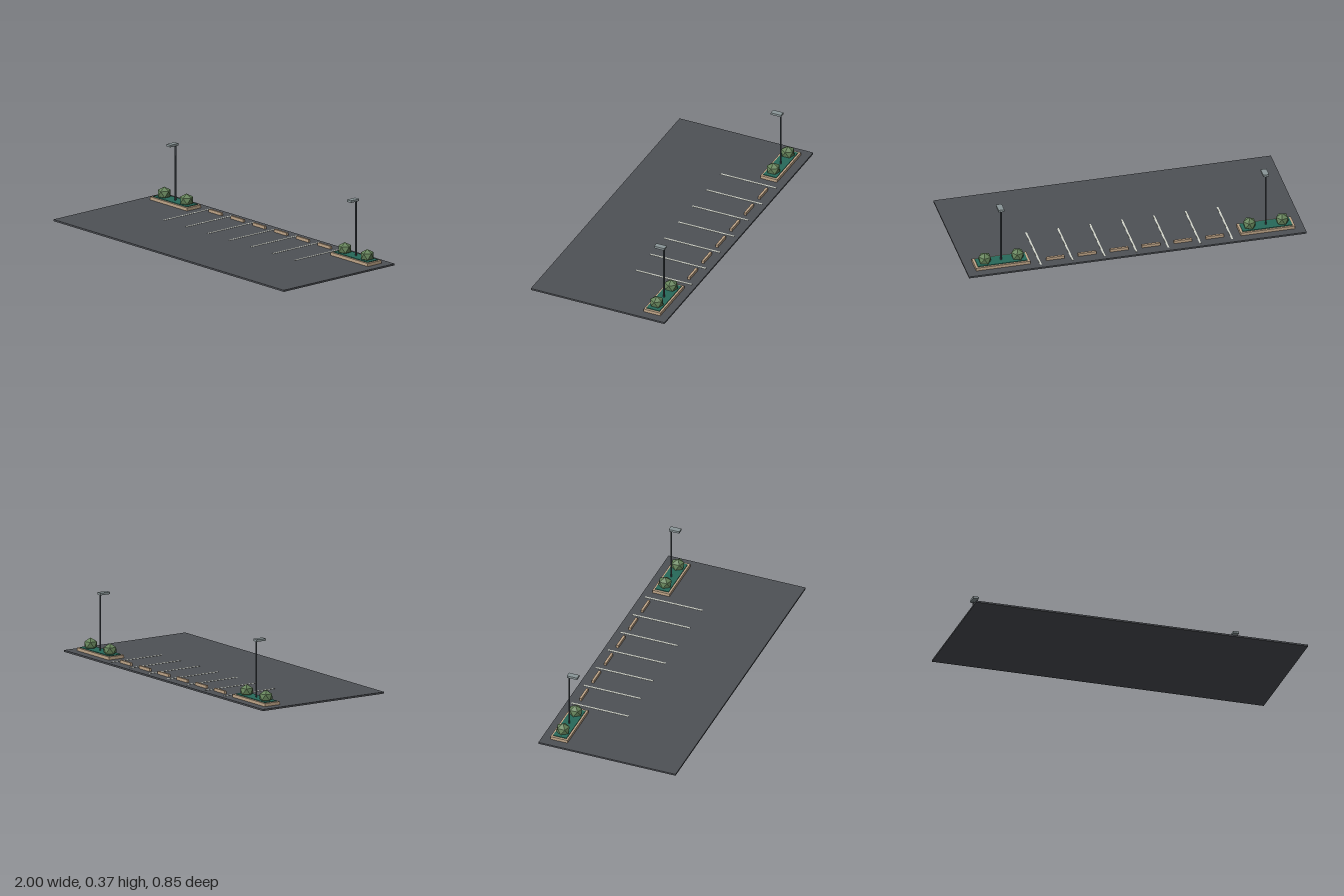
import * as THREE from 'three';

const material = (name, color) => {
  const m = new THREE.MeshStandardMaterial({ color });
  m.name = name;
  return m;
};

export function createModel() {
  const asphalt = material('asphalt', 0x4e5156);
  const paint = material('linePaint', 0xd2d5ca);
  const concrete = material('tanConcrete', 0xbfa588);
  const planting = material('groundCover', 0x27695a);
  const leaf = material('leaf', 0x65835a);
  leaf.flatShading = true;
  const steel = material('darkSteel', 0x484e54);
  const lampGrey = material('lampGrey', 0x8a9698);

  const model = new THREE.Group();
  model.name = 'parkingLot';

  // Box placed by its base height
  const box = (parent, name, mat, w, h, d, x, y, z) => {
    const mesh = new THREE.Mesh(new THREE.BoxGeometry(w, h, d), mat);
    mesh.name = name;
    mesh.position.set(x, y + h / 2, z);
    parent.add(mesh);
    return mesh;
  };

  box(model, 'pavement', asphalt, 2, 0.01, 0.85, 0, 0, 0);

  // Bay markings
  const pitch = 0.189;
  for (let i = -3; i <= 3; i++) {
    box(model, 'bayLine', paint, 0.01, 0.0015, 0.355, i * pitch, 0.01, -0.218);
  }

  // Wheel stops, one per bay
  for (let i = -2.5; i <= 2.5; i++) {
    box(model, 'wheelStop', concrete, 0.108, 0.017, 0.014, i * pitch, 0.01, -0.355);
  }

  // Shrub: icosahedron standing on a point, partly sunk in the bed
  const shrubGeometry = new THREE.IcosahedronGeometry(0.0425, 0);
  shrubGeometry.rotateZ(-Math.atan(2 / (1 + Math.sqrt(5))));
  shrubGeometry.scale(0.97, 0.91, 1.02);

  // Planted islands, each with two shrubs and a lamp post
  for (const side of [-1, 1]) {
    const island = new THREE.Group();
    island.name = side < 0 ? 'rightIsland' : 'leftIsland';
    island.position.set(side * 0.784, 0, -0.32);
    model.add(island);

    box(island, 'curb', concrete, 0.322, 0.018, 0.106, 0, 0.01, 0);
    box(island, 'groundCover', planting, 0.294, 0.005, 0.083, 0, 0.027, 0);

    for (const dx of [-0.097, 0.097]) {
      const shrub = new THREE.Mesh(shrubGeometry, leaf);
      shrub.name = 'shrub';
      shrub.position.set(dx, 0.053, 0);
      island.add(shrub);
    }

    const post = new THREE.Mesh(new THREE.CylinderGeometry(0.0052, 0.0052, 0.332, 8), steel);
    post.name = 'lampPost';
    post.position.set(0, 0.196, 0);
    island.add(post);
    box(island, 'lampHead', lampGrey, 0.034, 0.013, 0.064, 0, 0.36, 0.023);
  }

  return model;
}
